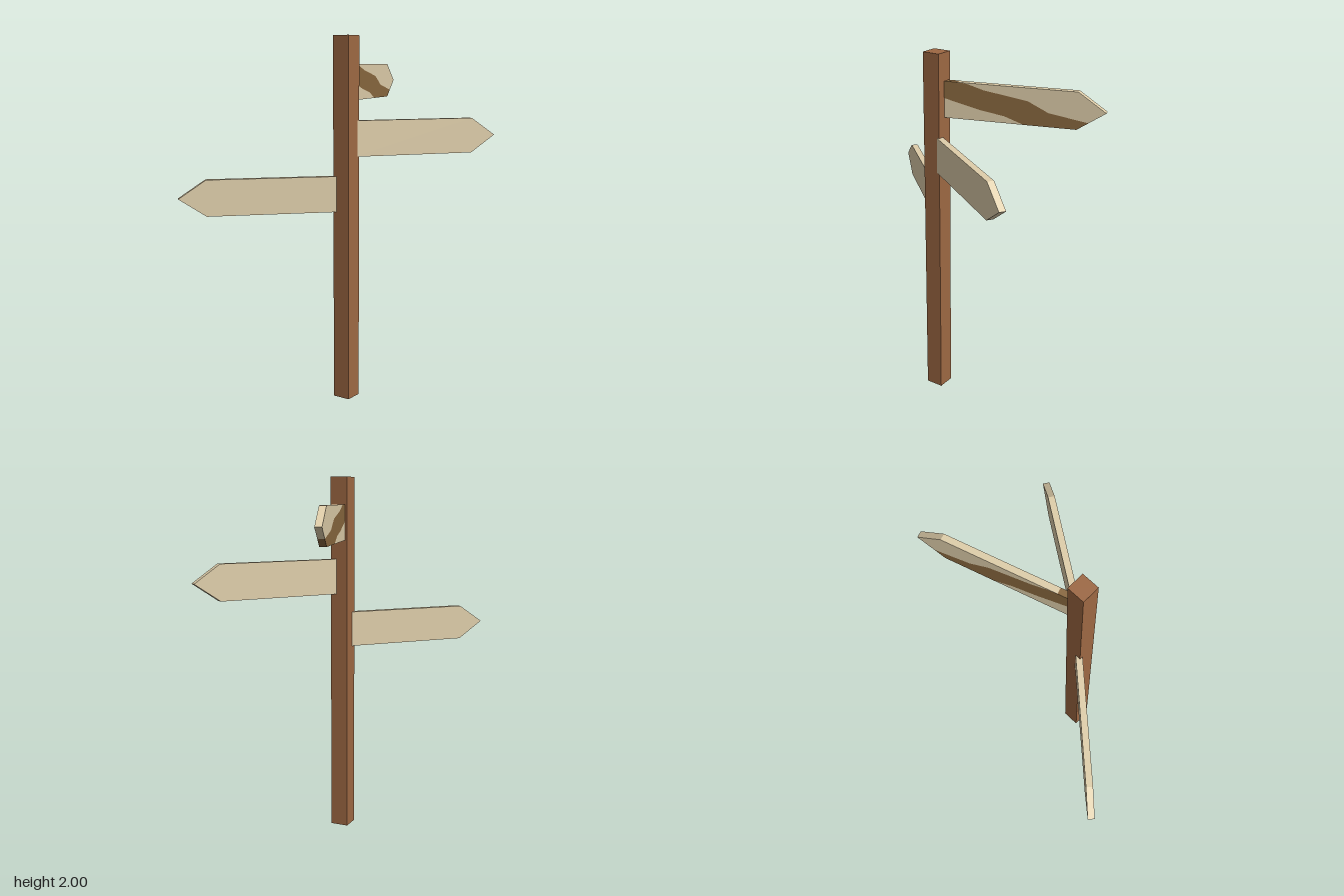
import * as THREE from 'three';

const LENGTH = 0.86, SHOULDER = 0.714, HALF = 0.0975, THICK = 0.036;

function material(name, color) {
  const m = new THREE.MeshStandardMaterial({ color });
  m.name = name;
  return m;
}

// Flat slab cut from an outline, centred on its thickness
function slab(name, points, mat) {
  const shape = new THREE.Shape(points.map(([x, y]) => new THREE.Vector2(x, y)));
  const geo = new THREE.ExtrudeGeometry(shape, { depth: THICK, bevelEnabled: false });
  geo.translate(0, 0, -THICK / 2);
  const mesh = new THREE.Mesh(geo, mat);
  mesh.name = name;
  return mesh;
}

// Group placed where a board enters the post and turned along its direction
function board(name, x, y, z, degrees, ...parts) {
  const g = new THREE.Group();
  g.name = name;
  g.position.set(x, y, z);
  g.rotation.y = THREE.MathUtils.degToRad(degrees);
  g.add(...parts);
  return g;
}

export function createModel() {
  const postWood = material('post brown', 0x9d6843);
  const paleWood = material('pale wood', 0xdfceaa);
  const darkWood = material('dark stripe brown', 0x89683f);

  const model = new THREE.Group();
  model.name = 'signpost';

  // Square post
  const post = new THREE.Mesh(new THREE.BoxGeometry(0.1, 2, 0.1), postWood);
  post.name = 'post';
  post.position.set(-0.095, 1, 0.048);
  model.add(post);

  // Plain pointed boards
  const outline = [[0, -HALF], [SHOULDER, -HALF], [LENGTH, 0], [SHOULDER, HALF], [0, HALF]];
  model.add(
    board('middleSign', -0.068, 1.453, 0.071, -34, slab('middleBoard', outline, paleWood)),
    board('lowerSign', -0.121, 1.153, 0.015, 138, slab('lowerBoard', outline, paleWood)),
  );

  // Top board, split along the two wavy borders of its dark stripe
  const upperEdge = [[0.084, HALF], [0.135, 0.092], [0.224, 0.066], [0.457, 0.029], [0.567, -0.024], [0.773, -0.058]];
  const lowerEdge = [[0, 0.01], [0.207, -0.04], [0.335, -0.061], [0.44, -HALF]];
  model.add(board('upperSign', -0.06, 1.753, 0.036, 17.3,
    slab('upperBoardTip', [...upperEdge, [LENGTH, 0], [SHOULDER, HALF]], paleWood),
    slab('upperBoardStripe', [...lowerEdge, [SHOULDER, -HALF], ...[...upperEdge].reverse(), [0, HALF]], darkWood),
    slab('upperBoardCorner', [[0, -HALF], ...[...lowerEdge].reverse()], paleWood),
  ));

  return model;
}
